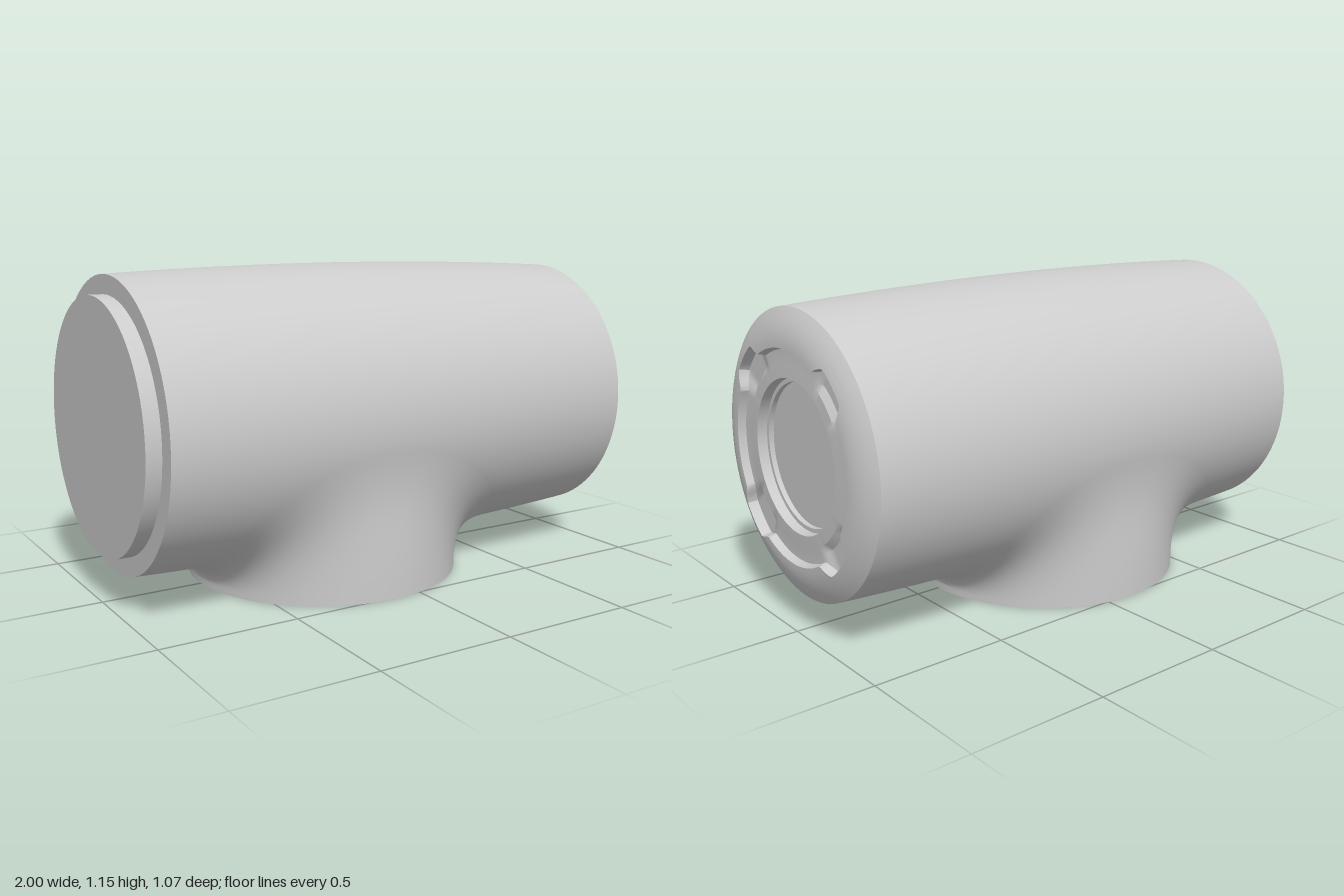
import * as THREE from 'three';
import { toCreasedNormals } from 'three/addons/utils/BufferGeometryUtils.js';

const AXIS_Y = 0.62;   // height of the barrel axis
const STUB_X = -0.11;  // axis of the lower branch
const STUB_R = 0.515;
const material = new THREE.MeshStandardMaterial({ color: 0xcccccc });

// Slightly bulged barrel radius along x
const barrelRadius = x => 0.535 - 0.027 * (x + 0.15) ** 2;

function addMesh(group, name, geometry, crease = 0.5) {
  const mesh = new THREE.Mesh(toCreasedNormals(geometry, crease), material);
  mesh.name = name;
  group.add(mesh);
  return mesh;
}

// Surface through closed loops; each row is a function of the angle giving [x, y, z]
function loft(rows, segments) {
  const pos = [], index = [], w = segments + 1;
  rows.forEach((row, j) => {
    for (let i = 0; i <= segments; i++) {
      pos.push(...row((i % segments) / segments * Math.PI * 2));
      if (i < segments && j < rows.length - 1) {
        const a = j * w + i;
        index.push(a, a + 1, a + w, a + 1, a + w + 1, a + w);
      }
    }
  });
  const g = new THREE.BufferGeometry();
  g.setAttribute('position', new THREE.Float32BufferAttribute(pos, 3));
  g.setIndex(index);
  return g;
}

// Barrel with a stepped, closed spigot on one end
function barrelGeometry() {
  const pts = [[0, -1], [0.45, -1], [0.45, -0.945]].map(p => new THREE.Vector2(...p));
  for (let i = 0; i <= 24; i++) {
    const x = -0.945 + 1.9 * i / 24;
    pts.push(new THREE.Vector2(barrelRadius(x), x));
  }
  return new THREE.LatheGeometry(pts, 144).rotateZ(-Math.PI / 2).translate(0, AXIS_Y, 0);
}

// Domed end face with a four-lobed recess and a round stepped hole
function endFaceGeometry() {
  const edge = barrelRadius(0.955);
  const dome = r => 1 - 0.045 * (Math.max(0, r - 0.37) / (edge - 0.37)) ** 2;
  const lobe = a => {
    const off = Math.abs((a % (Math.PI / 2)) - Math.PI / 4) * 180 / Math.PI;
    return 1 - THREE.MathUtils.smoothstep(off, 8.5, 17);
  };
  const outline = a => 0.37 + 0.052 * lobe(a);
  const at = (x, r, a) => [x, AXIS_Y + r * Math.cos(a), r * Math.sin(a)];
  const rows = [];
  for (let i = 0; i <= 8; i++) {
    rows.push(a => {
      const r = THREE.MathUtils.lerp(edge, outline(a), i / 8);
      return at(dome(r), r, a);
    });
  }
  // Recess wall, lobe pockets fading into the inner plate
  rows.push(a => at(0.972 - 0.015 * lobe(a), outline(a) - 0.008, a));
  rows.push(a => at(0.972 - 0.015 * lobe(a), 0.335, a));
  rows.push(a => at(0.974, 0.31, a));
  // Hole with a ledge that has a small key notch at the top
  const ledge = a => (Math.min(a, 2 * Math.PI - a) < 0.045 ? 0.264 : 0.25);
  rows.push(a => at(0.976, 0.267, a));
  rows.push(a => at(0.94, 0.265, a));
  rows.push(a => at(0.94, ledge(a), a));
  rows.push(a => at(0.922, ledge(a), a));
  rows.push(a => at(0.922, 0, a));
  return loft(rows, 192);
}

// Branch flowing out of the barrel, ending in a shallow open socket
function branchGeometry() {
  const ring = (r, y) => a => [STUB_X + r * Math.cos(a), y, r * Math.sin(a)];
  const onBarrel = (x, phi) => {
    const r = barrelRadius(x) + 0.0005;
    return new THREE.Vector3(x, AXIS_Y - r * Math.cos(phi), r * Math.sin(phi));
  };
  const blend = a => {
    const c = Math.cos(a), s = Math.sin(a);
    const dx = 0.65 * Math.sign(c) * Math.abs(c) ** 0.85, phi = 1.4 * s;
    const top = onBarrel(STUB_X + dx, phi);
    const foot = new THREE.Vector3(...ring(STUB_R, 0.02)(a));
    // Handle leaves the barrel along its surface, towards the branch axis
    const inward = onBarrel(STUB_X + dx * 0.99, phi * 0.99).sub(top).normalize();
    const h1 = top.clone().addScaledVector(inward, 0.4 * top.distanceTo(foot));
    const h0 = foot.clone().setY(foot.y + 0.5 * (top.y - foot.y));
    return new THREE.CubicBezierCurve3(top, h1, h0, foot);
  };
  const rows = [];
  for (let i = 0; i <= 20; i++) rows.push(a => blend(a).getPoint(i / 20).toArray());
  rows.push(ring(STUB_R, 0), ring(0.48, 0), ring(0.48, 0.05), ring(0, 0.05));
  return loft(rows, 144);
}

export function createModel() {
  const model = new THREE.Group();
  model.name = 'teeHousing';
  addMesh(model, 'barrel', barrelGeometry());
  addMesh(model, 'endFace', endFaceGeometry());
  addMesh(model, 'branch', branchGeometry());
  return model;
}
